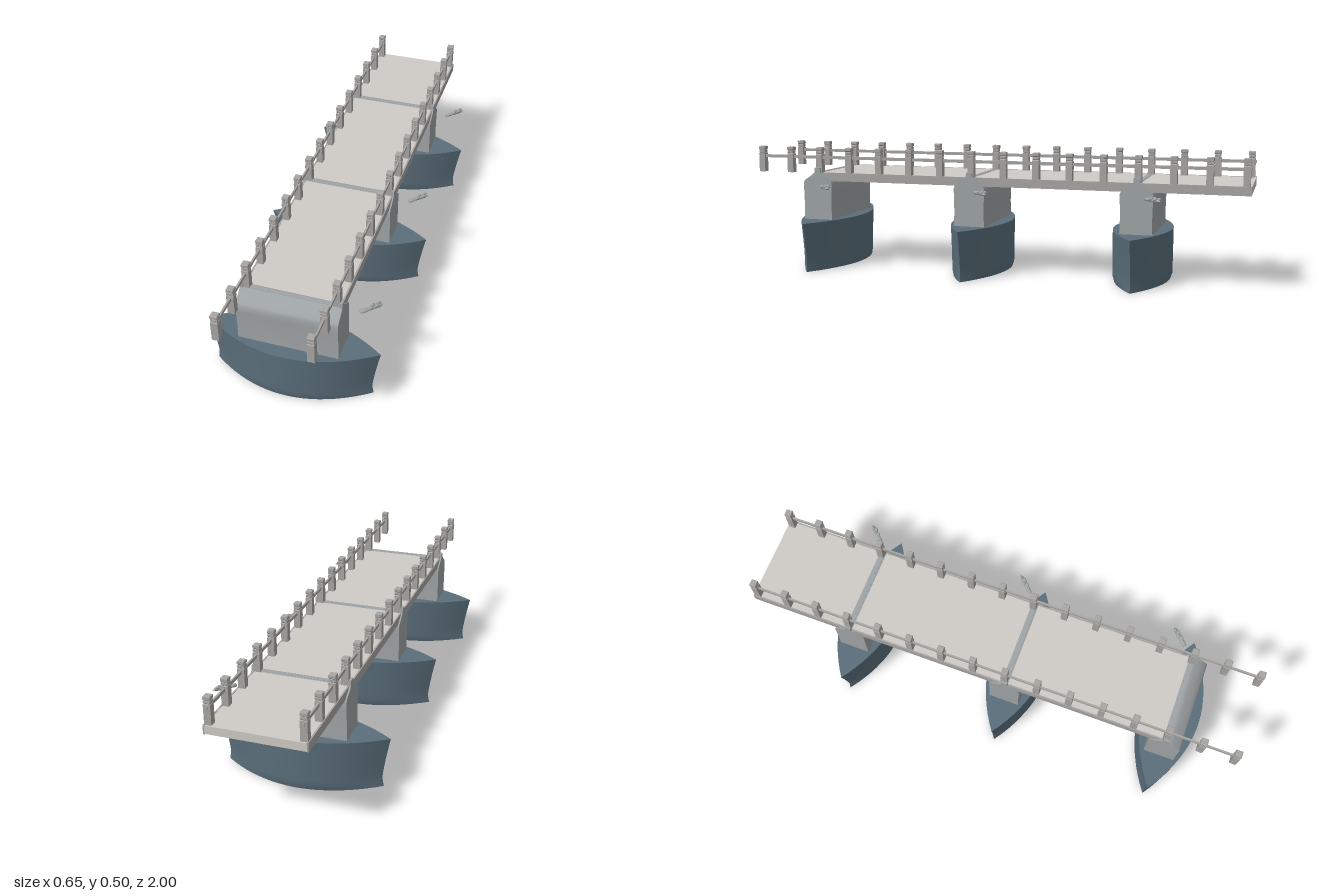
import * as THREE from 'three';
import { toCreasedNormals } from 'three/addons/utils/BufferGeometryUtils.js';

const mat = (color) => new THREE.MeshStandardMaterial({ color, side: THREE.DoubleSide });
const CX = 0.0035; // centre line of deck and railings
const PIER_Z = [0.729, 0.073, -0.585];
const POSTS = 16, FIRST = 0.988, STEP = 0.1313;

function add(parent, name, geometry, material, x = 0, y = 0, z = 0) {
  const mesh = new THREE.Mesh(geometry, material);
  mesh.name = name;
  mesh.position.set(x, y, z);
  parent.add(mesh);
  return mesh;
}

// Boat-shaped footing: lens outline, extruded upward, ends flaring towards the top
function footingGeometry() {
  const shape = new THREE.Shape();
  const n = 20, L = 0.325, W = 0.114;
  for (let i = 0; i <= n; i++) {
    const x = -L + (2 * L * i) / n, z = W * (1 - (x / L) ** 2);
    i ? shape.lineTo(x, z) : shape.moveTo(x, z);
  }
  for (let i = n - 1; i > 0; i--) {
    const x = -L + (2 * L * i) / n;
    shape.lineTo(x, -W * (1 - (x / L) ** 2));
  }
  shape.closePath();
  const geo = new THREE.ExtrudeGeometry(shape, { depth: 0.2, steps: 10, bevelEnabled: false });
  geo.rotateX(-Math.PI / 2);
  const p = geo.attributes.position;
  for (let i = 0; i < p.count; i++) {
    const y = p.getY(i);
    const end = y < 0.03 ? 0.302 - 0.2 * y : 0.296 + 0.029 * ((y - 0.03) / 0.17) ** 1.3;
    const side = y < 0.02 ? 0.94 + 3 * y : 1;
    p.setX(i, (p.getX(i) * end) / L);
    p.setZ(i, p.getZ(i) * side);
  }
  return toCreasedNormals(geo, 0.6);
}

// Pier wall: rounded shoulders rising to a ridge under the deck
function pierGeometry() {
  const half = [[0.062, 0.2], [0.0605, 0.26], [0.062, 0.32], [0.063, 0.35], [0.058, 0.361], [0.03, 0.38], [0.012, 0.394]];
  const pts = [...half, ...half.map(([z, y]) => [-z, y]).reverse()];
  const shape = new THREE.Shape(pts.map(([z, y]) => new THREE.Vector2(z, y)));
  const geo = new THREE.ExtrudeGeometry(shape, { depth: 0.373, bevelEnabled: false });
  geo.rotateY(-Math.PI / 2); // profile now lies along z, length along -x
  geo.translate(0.19, 0, 0);
  return toCreasedNormals(geo, 0.8);
}

// Tapered ear at each end of the pier ridge
function earGeometry() {
  const shape = new THREE.Shape([[-0.03, 0.36], [0.03, 0.36], [0.014, 0.385], [0.011, 0.413], [-0.011, 0.413], [-0.014, 0.385]]
    .map(([z, y]) => new THREE.Vector2(z, y)));
  const geo = new THREE.ExtrudeGeometry(shape, { depth: 0.009, bevelEnabled: false });
  geo.rotateY(-Math.PI / 2);
  geo.translate(0.0045, 0, 0);
  return geo;
}

// Square post with two grooves below the cap
function addPost(parent, material, x, z) {
  const post = new THREE.Group();
  post.name = 'railingPost';
  post.position.set(x, 0, z);
  const r = Math.SQRT1_2;
  const profile = [[0, 0.39], [0.026, 0.39], [0.026, 0.466], [0.021, 0.469], [0.024, 0.471], [0.025, 0.475],
    [0.024, 0.479], [0.021, 0.481], [0.026, 0.484], [0.026, 0.494], [0.022, 0.496], [0, 0.496]]
    .map(([w, y]) => new THREE.Vector2(w * r, y));
  const geo = toCreasedNormals(new THREE.LatheGeometry(profile, 4, Math.PI / 4), 0.4);
  add(post, 'postShaft', geo, material);
  parent.add(post);
}

// Small carved spout head: slim body with a knobbly mane
function spoutHead(material) {
  const g = new THREE.Group();
  g.name = 'carvedSpout';
  const profile = [[0, -0.045], [0.007, -0.042], [0.0085, -0.03], [0.007, -0.01], [0.008, 0.015], [0.007, 0.035], [0, 0.048]]
    .map(([w, y]) => new THREE.Vector2(w, y));
  const body = add(g, 'spoutBody', new THREE.LatheGeometry(profile, 10), material);
  body.rotation.x = Math.PI / 2;
  body.scale.set(1.1, 1, 0.8);
  for (let i = 0; i < 4; i++) {
    const curl = add(g, 'maneCurl', new THREE.SphereGeometry(0.0075, 8, 6), material,
      i % 2 ? 0.005 : -0.005, 0.005 + (i % 2) * 0.002, -0.005 + i * 0.012);
    curl.scale.set(0.8, 0.8, 1.3);
  }
  g.rotation.y = Math.atan2(0.065, -0.065);
  return g;
}

export function createModel() {
  const model = new THREE.Group();
  model.name = 'pierBridge';
  const footingMat = mat(0x5a6e7a), pierMat = mat(0x9fa4a6), deckMat = mat(0xcfcbc5), railMat = mat(0xa8a6a3);

  // Piers
  const footing = footingGeometry(), wall = pierGeometry(), ear = earGeometry();
  for (const z of PIER_Z) {
    const pier = new THREE.Group();
    pier.name = 'pier';
    pier.position.z = z;
    add(pier, 'footing', footing, footingMat);
    add(pier, 'pierWall', wall, pierMat);
    for (const side of [-1, 1]) add(pier, 'pierEar', ear, pierMat, CX + side * 0.182);
    const spout = spoutHead(pierMat);
    spout.position.set(0.268, 0.343, -0.072);
    pier.add(spout);
    model.add(pier);
  }

  // Deck slab with darker edge beams
  const front = 0.738, length = front + 1, mid = (front - 1) / 2;
  add(model, 'deck', new THREE.BoxGeometry(0.352, 0.031, length), deckMat, CX, 0.3775, mid);
  for (const side of [-1, 1]) {
    add(model, 'edgeBeam', new THREE.BoxGeometry(0.006, 0.034, length), railMat, CX + side * 0.178, 0.377, mid);
  }

  // Thin seam ridges across the deck above each pier
  for (const z of PIER_Z) add(model, 'deckSeam', new THREE.BoxGeometry(0.352, 0.004, 0.016), pierMat, CX, 0.393, z);

  // Railings
  for (const side of [-1, 1]) {
    const x = CX + side * 0.1645;
    for (let i = 0; i < POSTS; i++) addPost(model, railMat, x, FIRST - i * STEP);
    add(model, 'handRail', new THREE.BoxGeometry(0.007, 0.012, 1.99), railMat, x, 0.455, -0.004);
  }
  return model;
}
